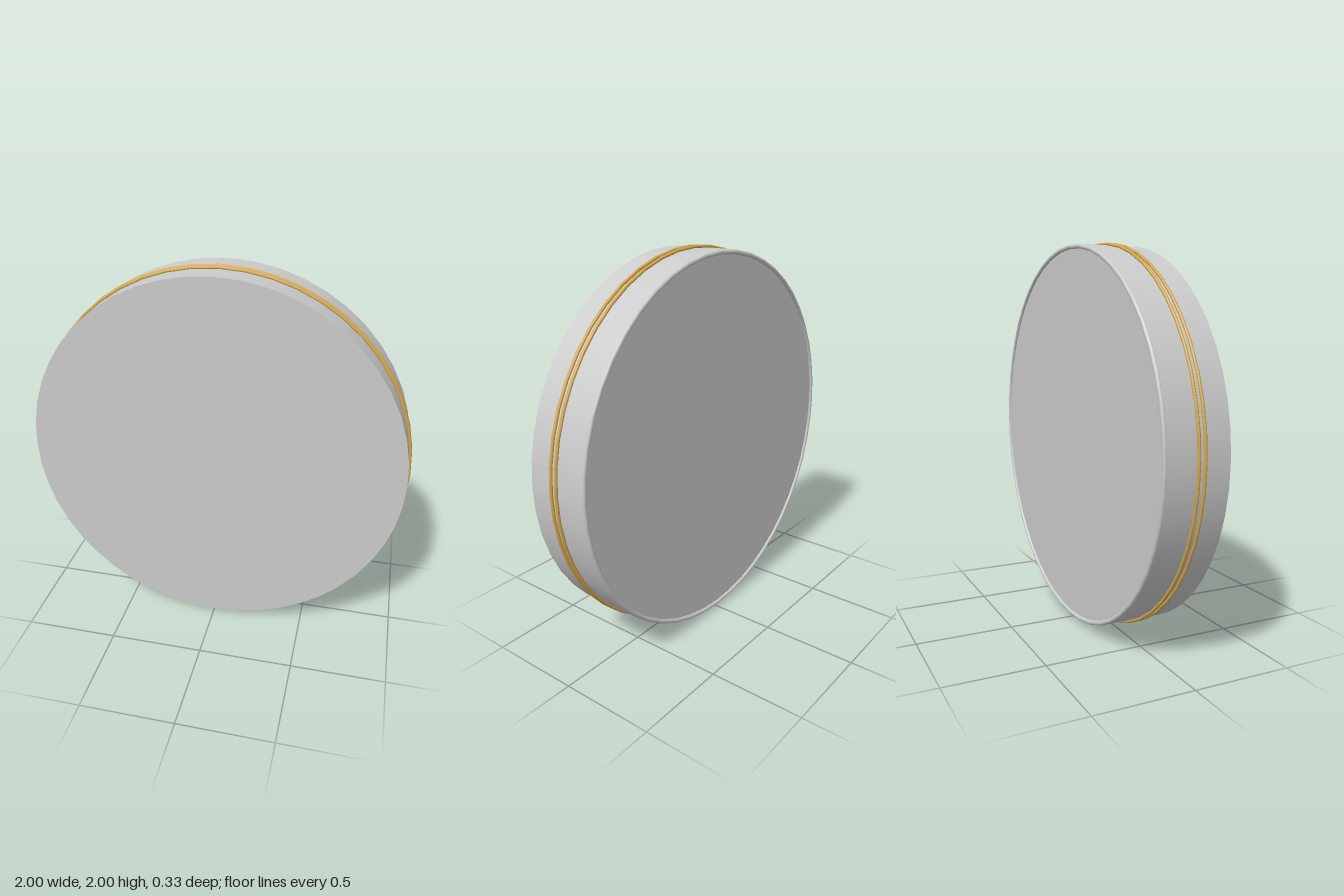
import * as THREE from 'three';

const SIDES = 48;

export function createModel() {
  const model = new THREE.Group();
  const grey = new THREE.MeshStandardMaterial({ color: 0xcccccc });
  const gold = new THREE.MeshStandardMaterial({ color: 0xd4a850 });

  // Adds a round hoop facing z
  function addHoop(name, radius, tube, z, material) {
    const hoop = new THREE.Mesh(new THREE.TorusGeometry(radius, tube, 10, SIDES), material);
    hoop.name = name;
    hoop.position.set(0, 1, z);
    model.add(hoop);
  }

  // Thick disc standing on its edge, flat front at z = 0.166
  const front = 0.166, back = -0.154;
  const bodyGeometry = new THREE.CylinderGeometry(0.986, 0.986, front - back, SIDES);
  bodyGeometry.rotateX(Math.PI / 2);
  const body = new THREE.Mesh(bodyGeometry, grey);
  body.name = 'discBody';
  body.position.set(0, 1, (front + back) / 2);
  model.add(body);

  // Rounded lip around the back face
  addHoop('backRim', 0.975, 0.012, back, grey);

  // Pair of thin gold bands around the side
  addHoop('frontBand', 0.992, 0.008, 0.034, gold);
  addHoop('rearBand', 0.992, 0.008, 0.002, gold);

  return model;
}
